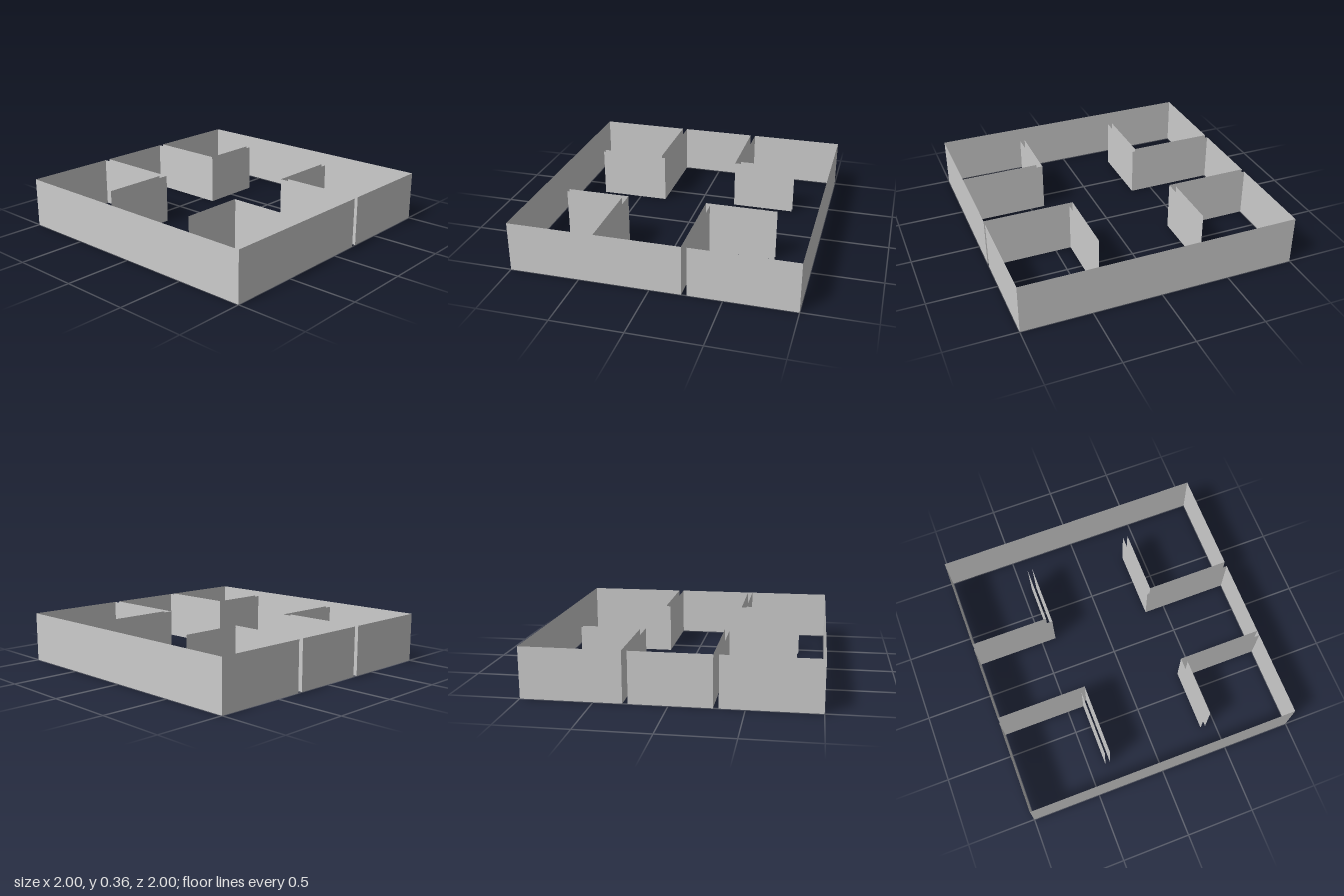
import * as THREE from 'three';

const HEIGHT = 0.36;
const GAP = 0.037; // distance between the two skins of a partition

const material = new THREE.MeshStandardMaterial({ color: 0xcccccc, side: THREE.DoubleSide, flatShading: true });

// One upright sheet per step of an [x, z] floor-plan path
function wallRun(name, path) {
  const run = new THREE.Group();
  run.name = name;
  for (let i = 0; i + 1 < path.length; i++) {
    const [x0, z0] = path[i];
    const [x1, z1] = path[i + 1];
    const dx = x1 - x0, dz = z1 - z0;
    const sheet = new THREE.Mesh(new THREE.PlaneGeometry(Math.hypot(dx, dz), HEIGHT), material);
    sheet.name = `${name}Sheet${i + 1}`;
    sheet.position.set((x0 + x1) / 2, HEIGHT / 2, (z0 + z1) / 2);
    sheet.rotation.y = Math.atan2(-dz, dx);
    run.add(sheet);
  }
  return run;
}

// L-shaped partition skin from the outer wall to its free end by a doorway
const partition = (side, x, z, end) => [[side, z], [x, z], [x, end]];

// The four corner rooms: hall-side corner and free end of each partition
const rooms = {
  backRight: { side: -1, x: -0.39, z: -0.267, end: -0.73 },
  backLeft: { side: 1, x: 0.35, z: -0.22, end: -0.73 },
  frontRight: { side: -1, x: -0.34, z: 0.292, end: 0.805 },
  frontLeft: { side: 1, x: 0.39, z: 0.344, end: 0.8 },
};

export function createModel() {
  const model = new THREE.Group();
  model.name = 'floorPlanWalls';

  // Double-skinned partitions, open at the top and at the doorways
  for (const [name, { side, x, z, end }] of Object.entries(rooms)) {
    model.add(wallRun(`${name}HallSkin`, partition(side, x, z, end)));
    model.add(wallRun(`${name}RoomSkin`,
      partition(side, x + side * GAP, z + Math.sign(z) * GAP, end)));
  }

  // Outer walls, broken by slots where three of the partitions meet them
  const { backRight, backLeft, frontRight } = rooms;
  model.add(wallRun('backOuterWall', [
    [-1, backRight.z - GAP], [-1, -1], [1, -1], [1, backLeft.z - GAP],
  ]));
  model.add(wallRun('frontOuterWall', [
    [-1, frontRight.z + GAP], [-1, 1], [1, 1], [1, backLeft.z],
  ]));
  model.add(wallRun('hallOuterWall', [[-1, backRight.z], [-1, frontRight.z]]));

  return model;
}
